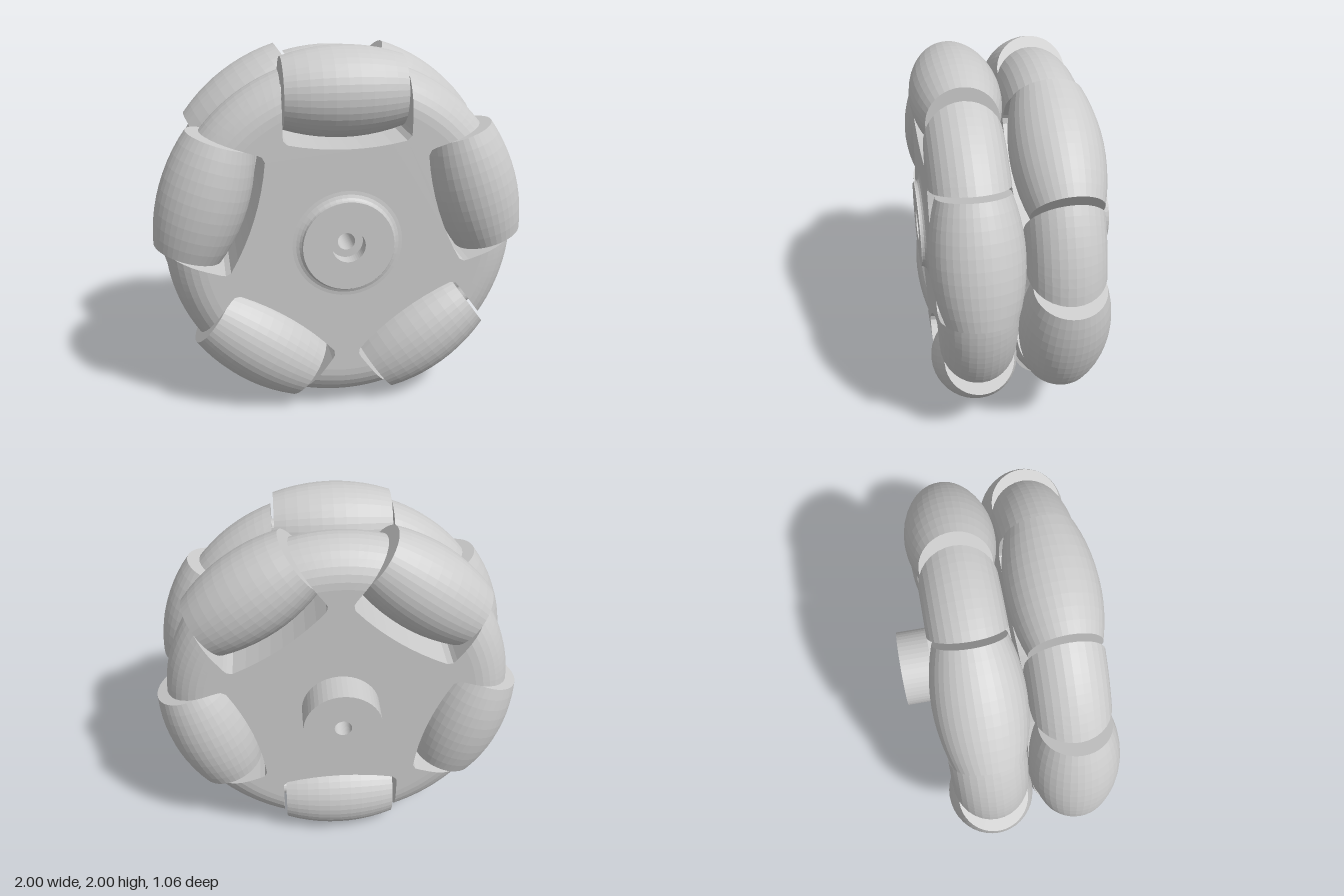
import * as THREE from 'three';

const COUNT = 5, STEP = (Math.PI * 2) / COUNT;
const CORE_R = 0.74, RIM_R = 0.203;   // flat face radius and rounded rim radius
const POCKET_X = 0.33;                // half width of a roller pocket
const AXLE_R = 0.764;                 // distance of roller axles from the wheel centre
const ROLLER_HALF = 0.315;

const material = new THREE.MeshStandardMaterial({ color: 0xcccccc, flatShading: true });

function mesh(name, geometry) {
  const m = new THREE.Mesh(geometry, material);
  m.name = name;
  return m;
}

// Outline of one disc slice: five pockets joined by arcs of the given radius
function outline(radius) {
  const floor = [[POCKET_X, 0.59], [0.327, 0.563], [0.305, 0.541]];
  for (let i = 1; i < 8; i++) {
    const x = 0.305 * (1 - i / 4);
    floor.push([x, 0.508 + 0.35 * x * x]);
  }
  floor.push([-0.305, 0.541], [-0.327, 0.563], [-POCKET_X, 0.59]);
  const edge = Math.asin(POCKET_X / radius);
  const points = [];
  for (let k = 0; k < COUNT; k++) {
    const c = Math.cos(k * STEP), s = Math.sin(k * STEP);
    for (const [x, y] of floor) points.push(new THREE.Vector2(x * c - y * s, x * s + y * c));
    for (let i = 0; i <= 10; i++) {
      const a = Math.PI / 2 + k * STEP + edge + (STEP - 2 * edge) * (i / 10);
      points.push(new THREE.Vector2(radius * Math.cos(a), radius * Math.sin(a)));
    }
  }
  return points;
}

// Rim and pocket walls, lofted through the slices of a rounded edge
function wallGeometry() {
  const slices = 16, pos = [], index = [];
  let n = 0;
  for (let j = 0; j <= slices; j++) {
    const a = -Math.PI / 2 + (Math.PI * j) / slices;
    const ring = outline(CORE_R + RIM_R * Math.cos(a));
    n = ring.length;
    for (const p of ring) pos.push(p.x, p.y, RIM_R * Math.sin(a));
  }
  for (let j = 0; j < slices; j++) {
    for (let i = 0; i < n; i++) {
      const a = j * n + i, b = j * n + ((i + 1) % n);
      index.push(a, b, b + n, a, b + n, a + n);
    }
  }
  const g = new THREE.BufferGeometry();
  g.setAttribute('position', new THREE.Float32BufferAttribute(pos, 3));
  g.setIndex(index);
  g.computeVertexNormals();
  return g;
}

// Flat face of a disc, open in the middle for the hub
function faceGeometry() {
  const shape = new THREE.Shape(outline(CORE_R));
  const hole = new THREE.Path();
  hole.absarc(0, 0, 0.2, 0, Math.PI * 2, true);
  shape.holes.push(hole);
  return new THREE.ShapeGeometry(shape, 24).translate(0, 0, RIM_R);
}

// Barrel whose side follows the rolling circle of the wheel
function rollerGeometry() {
  const profile = [new THREE.Vector2(0, -ROLLER_HALF)];
  for (let i = 0; i <= 10; i++) {
    const x = ROLLER_HALF * (i / 5 - 1);
    profile.push(new THREE.Vector2(Math.sqrt(1 - x * x) - AXLE_R, x));
  }
  profile.push(new THREE.Vector2(0, ROLLER_HALF));
  return new THREE.LatheGeometry(profile, 40).rotateZ(Math.PI / 2);
}

function createDisc(name, parts) {
  const disc = new THREE.Group();
  disc.name = name;
  const back = mesh('backFace', parts.face);
  back.rotation.y = Math.PI;
  disc.add(mesh('discBody', parts.wall), mesh('frontFace', parts.face), back);
  for (let k = 0; k < COUNT; k++) {
    const unit = new THREE.Group();
    unit.name = 'rollerUnit';
    unit.rotation.z = k * STEP;
    const roller = mesh('roller', parts.roller);
    const axle = mesh('axle', parts.axle);
    roller.position.y = axle.position.y = AXLE_R;
    unit.add(roller, axle);
    disc.add(unit);
  }
  return disc;
}

// Hub through both discs: rear boss, hidden spacer, filleted front boss, stepped bore
function hubGeometry() {
  const p = [[0.046, -0.532], [0.21, -0.532], [0.21, -0.3], [0.3, -0.3], [0.3, 0.44], [0.29, 0.493]];
  for (let i = 1; i <= 4; i++) {
    const a = (i / 4) * (Math.PI / 2);
    p.push([0.29 - 0.05 * Math.sin(a), 0.493 + 0.03 * (1 - Math.cos(a))]);
  }
  p.push([0.24, 0.53], [0.088, 0.53], [0.088, 0.455], [0.046, 0.455], [0.046, -0.532]);
  const profile = p.map(([r, y]) => new THREE.Vector2(r, y));
  return new THREE.LatheGeometry(profile, 48).rotateX(Math.PI / 2);
}

export function createModel() {
  const parts = {
    wall: wallGeometry(),
    face: faceGeometry(),
    roller: rollerGeometry(),
    axle: new THREE.CylinderGeometry(0.045, 0.045, 0.74, 20).rotateZ(Math.PI / 2),
  };
  const wheel = new THREE.Group();
  wheel.name = 'rollerWheel';
  wheel.position.y = 1;

  const front = createDisc('frontDisc', parts);
  front.position.z = 0.29;
  // The rear disc is staggered by half a roller spacing
  const rear = createDisc('rearDisc', parts);
  rear.position.z = -0.155;
  rear.rotation.z = Math.PI;

  wheel.add(front, rear, mesh('hub', hubGeometry()));
  const model = new THREE.Group();
  model.name = 'model';
  model.add(wheel);
  return model;
}
